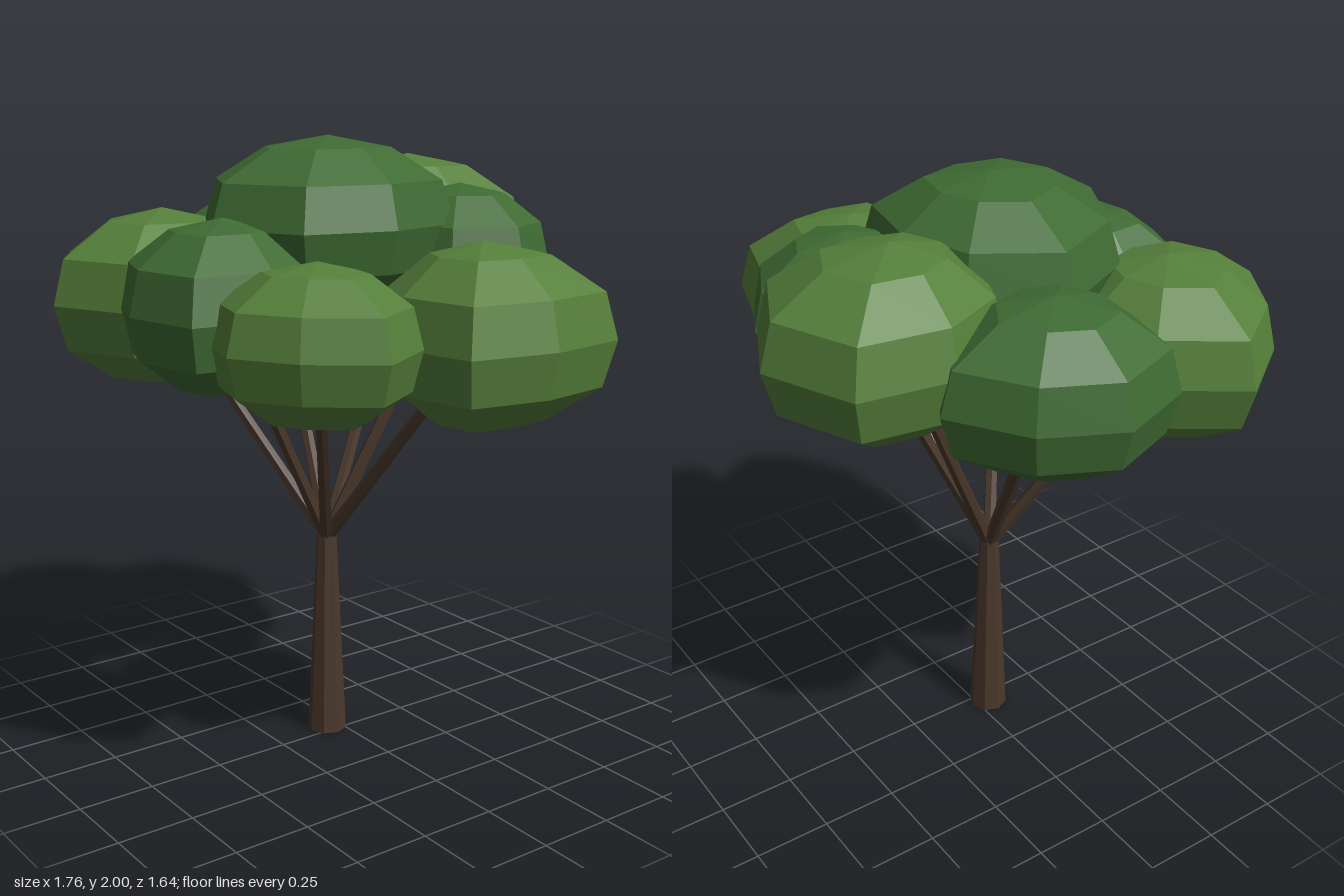
import * as THREE from 'three';

const mat = (color) => new THREE.MeshStandardMaterial({ color, flatShading: true });

// Leaf clumps: centre, half height, and the reach of the eight columns,
// turning from +x through +z, -x and -z.
const CLUMPS = [
  { name: 'topClump', dark: true, at: [-0.03, 1.73, 0.04], h: 0.27, reach: [0.36, 0.42, 0.43, 0.40, 0.42, 0.36, 0.34, 0.40] },
  { name: 'leftClump', dark: false, at: [0.55, 1.43, -0.10], h: 0.283, reach: [0.33, 0.40, 0.33, 0.31, 0.31, 0.35, 0.37, 0.40], branch: true },
  { name: 'frontRightClump', dark: false, at: [-0.40, 1.485, 0.43], h: 0.285, reach: [0.33, 0.39, 0.39, 0.34, 0.41, 0.34, 0.33, 0.35], branch: true },
  { name: 'frontClump', dark: true, at: [0.02, 1.50, 0.46], h: 0.27, reach: [0.30, 0.385, 0.32, 0.33, 0.26, 0.30, 0.30, 0.31], branch: true },
  { name: 'frontLeftClump', dark: false, at: [0.45, 1.44, 0.42], h: 0.24, reach: [0.34, 0.27, 0.30, 0.32, 0.28, 0.28, 0.27, 0.30], branch: true },
  { name: 'rightClump', dark: true, at: [-0.53, 1.55, -0.09], h: 0.265, reach: [0.31, 0.31, 0.31, 0.36, 0.35, 0.33, 0.38, 0.33], branch: true },
  { name: 'backClump', dark: false, at: [-0.18, 1.64, -0.40], h: 0.285, reach: [0.30, 0.33, 0.33, 0.33, 0.34, 0.42, 0.42, 0.40], branch: true },
  { name: 'backLeftClump', dark: true, at: [0.13, 1.60, -0.37], h: 0.245, reach: [0.31, 0.28, 0.28, 0.28, 0.28, 0.29, 0.31, 0.29], branch: true },
];

// Eight-sided sphere with each column pushed out to its own reach
function clumpGeometry(h, reach) {
  const geo = new THREE.SphereGeometry(1, 8, 6);
  const p = geo.attributes.position;
  for (let i = 0; i < p.count; i++) {
    const x = p.getX(i), y = p.getY(i), z = p.getZ(i);
    const column = (Math.round(Math.atan2(z, x) / (Math.PI / 4)) + 8) % 8;
    const swell = Math.abs(Math.abs(y) - 0.5) < 0.1 ? 1.04 : 1; // boxier shoulders
    const s = reach[column] * swell;
    p.setXYZ(i, x * s, y * h, z * s);
  }
  geo.computeVertexNormals();
  return geo;
}

// Tapered rod between two points
function rod(from, to, r0, r1, sides, material) {
  const dir = to.clone().sub(from);
  const mesh = new THREE.Mesh(new THREE.CylinderGeometry(r1, r0, dir.length(), sides), material);
  mesh.position.copy(from).addScaledVector(dir, 0.5);
  mesh.quaternion.setFromUnitVectors(new THREE.Vector3(0, 1, 0), dir.normalize());
  return mesh;
}

export function createModel() {
  const tree = new THREE.Group();
  tree.name = 'tree';
  const bark = mat(0x4a382c);
  const lightLeaf = mat(0x557f3a);
  const darkLeaf = mat(0x3f6b33);

  // Trunk
  const fork = new THREE.Vector3(-0.035, 0.7, 0.045);
  const trunk = rod(new THREE.Vector3(-0.035, 0, 0.045), fork, 0.065, 0.033, 8, bark);
  trunk.name = 'trunk';
  tree.add(trunk);

  // Leaf clumps, and a branch from the fork into each outer one
  for (const c of CLUMPS) {
    const clump = new THREE.Mesh(clumpGeometry(c.h, c.reach), c.dark ? darkLeaf : lightLeaf);
    clump.name = c.name;
    clump.position.set(...c.at);
    tree.add(clump);
    if (c.branch) {
      const branch = rod(fork.clone().setY(0.685), clump.position, 0.023, 0.016, 6, bark);
      branch.name = c.name.replace('Clump', 'Branch');
      tree.add(branch);
    }
  }
  return tree;
}
